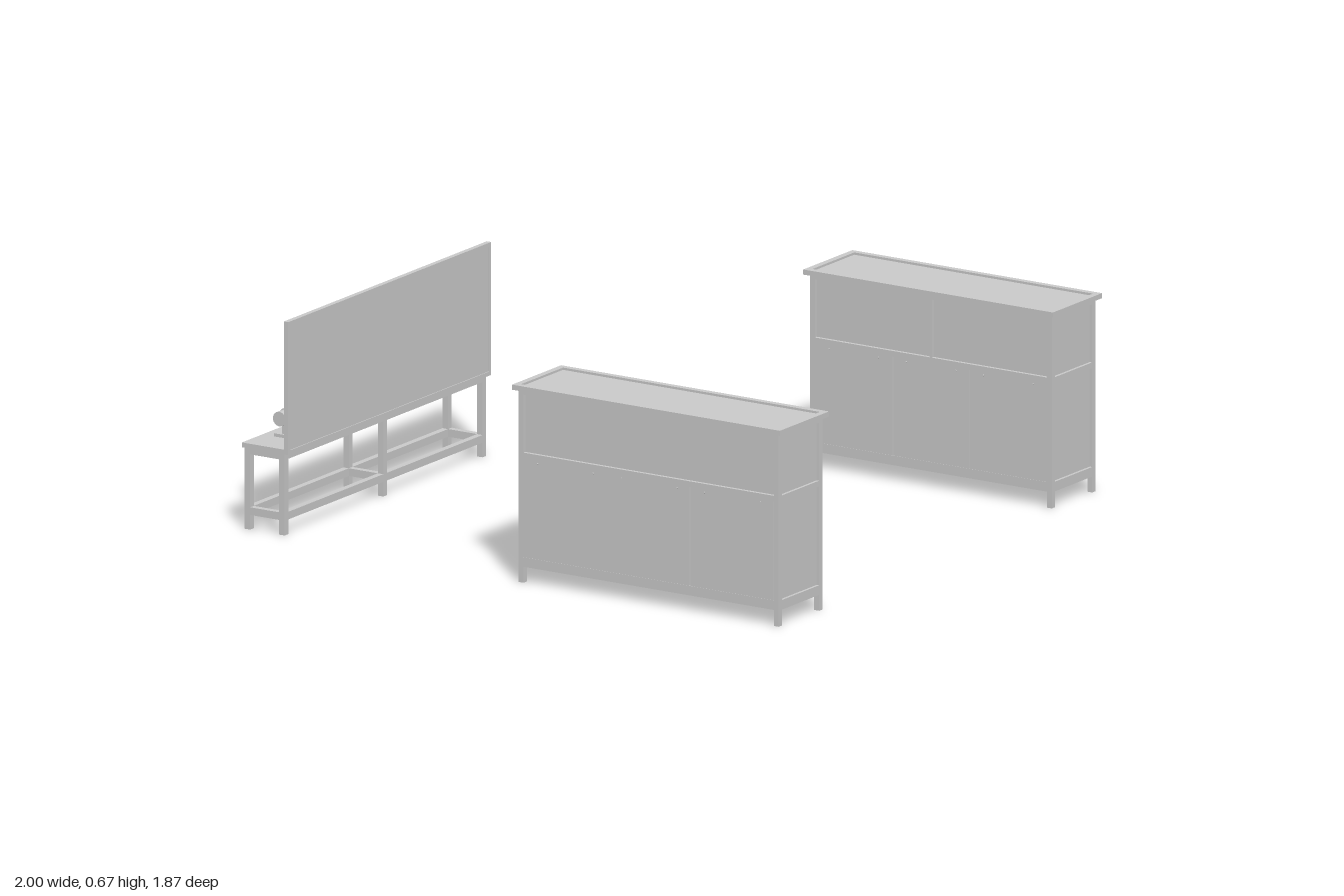
import * as THREE from 'three';

const mat = new THREE.MeshStandardMaterial({ color: 0xcccccc });

// Box given by its min and max corners
function box(parent, name, x0, x1, y0, y1, z0, z1) {
  const m = new THREE.Mesh(new THREE.BoxGeometry(x1 - x0, y1 - y0, z1 - z0), mat);
  m.position.set((x0 + x1) / 2, (y0 + y1) / 2, (z0 + z1) / 2);
  m.name = name;
  parent.add(m);
  return m;
}

// Cylinder lying along the x or z axis; r1 is the radius at the positive end
function tube(parent, name, axis, r1, r0, length, x, y, z) {
  const g = new THREE.CylinderGeometry(r1, r0, length, 24);
  if (axis === 'x') g.rotateZ(-Math.PI / 2);
  else g.rotateX(Math.PI / 2);
  const m = new THREE.Mesh(g, mat);
  m.position.set(x, y, z);
  m.name = name;
  parent.add(m);
  return m;
}

// Framed cabinet, open underneath; its outer face is local +z
function cabinet(name, length) {
  const g = new THREE.Group();
  g.name = name;
  const a = length / 2, d = 0.135;
  const X = a - 0.014, Z = 0.12, p = 0.018;

  // Tray-like top: rim around a slightly sunken panel
  const rim = 0.02;
  box(g, 'topPanel', -a + rim, a - rim, 0.604, 0.613, -d + rim, d - rim);
  for (const s of [-1, 1]) {
    const zc = s * (d - rim / 2), xc = s * (a - rim / 2);
    box(g, 'topRimLong', -a, a, 0.604, 0.62, zc - rim / 2, zc + rim / 2);
    box(g, 'topRimShort', xc - rim / 2, xc + rim / 2, 0.604, 0.62, -d + rim, d - rim);
  }

  // Corner posts that run down into the legs
  for (const sx of [-1, 1]) for (const sz of [-1, 1]) {
    const x = sx * (X - p / 2), z = sz * (Z - p / 2);
    box(g, 'cornerPost', x - p / 2, x + p / 2, 0, 0.605, z - p / 2, z + p / 2);
  }

  // Bottom, middle and top rails
  const rails = [[0.05, 0.08], [0.39, 0.408], [0.59, 0.605]];
  for (const [y0, y1] of rails) for (const s of [-1, 1]) {
    const z = s * (Z - p / 2), x = s * (X - p / 2);
    box(g, 'longRail', -X + p, X - p, y0, y1, z - p / 2, z + p / 2);
    box(g, 'endRail', x - p / 2, x + p / 2, y0, y1, -Z + p, Z - p);
  }

  const inner = X - p;
  for (const s of [-1, 1]) {
    // Sunken upper panels and nearly flush lower ones
    const zu = s * (Z - 0.013), zl = s * (Z - 0.004);
    box(g, 'upperPanel', -inner, inner, 0.408, 0.59, zu - 0.002, zu + 0.002);
    const third = 2 * inner / 3;
    for (let i = 0; i < 3; i++) {
      const x0 = -inner + i * third, x1 = x0 + third;
      box(g, 'lowerPanel', x0, x1 - (i === 1 ? 0.004 : 0.0008), 0.08, 0.39, zl - 0.003, zl + 0.003);
      // Small fasteners at the head of each lower panel
      for (const x of [x0 + 0.05, x1 - 0.05])
        tube(g, 'fastener', 'z', 0.003, 0.003, 0.004, x, 0.38, s * Z);
    }
    // End panels
    const xe = s * (X - 0.011);
    box(g, 'endUpperPanel', xe - 0.002, xe + 0.002, 0.408, 0.59, -Z + p, Z - p);
    box(g, 'endLowerPanel', xe - 0.002, xe + 0.002, 0.08, 0.39, -Z + p, Z - p);
  }
  // Divider of the upper panel on the inner side
  box(g, 'upperDivider', -0.004, 0.004, 0.408, 0.59, -Z, -Z + p);
  return g;
}

function bench() {
  const g = new THREE.Group();
  g.name = 'displayBench';
  const x0 = -1, x1 = -0.847, z0 = -0.25, z1 = 0.865, w = 0.02;
  const legX = [-0.982, -0.857], legZ = [0.852, 0.31, -0.235];

  // Table top with an apron frame below it
  box(g, 'tableTop', x0, x1, 0.255, 0.27, z0, z1);
  for (const x of legX) {
    box(g, 'apron', x - w / 2, x + w / 2, 0.236, 0.255, z0 + 0.005, z1 - 0.003);
    box(g, 'stretcher', x - w / 2, x + w / 2, 0.046, 0.07, legZ[2], legZ[0]);
    for (const z of legZ) box(g, 'leg', x - w / 2, x + w / 2, 0, 0.255, z - w / 2, z + w / 2);
  }
  for (const z of legZ) {
    box(g, 'crossRail', legX[0], legX[1], 0.236, 0.255, z - w / 2, z + w / 2);
    box(g, 'crossStretcher', legX[0], legX[1], 0.046, 0.07, z - w / 2, z + w / 2);
  }

  // Framed back board
  const b0 = -0.848, b1 = -0.832, f = 0.013;
  box(g, 'backBoard', b0 + 0.004, b1 - 0.003, 0.255 + f, 0.672 - f, z0 + f, z1 - f);
  box(g, 'boardTopRail', b0, b1, 0.672 - f, 0.672, z0, z1);
  box(g, 'boardBottomRail', b0, b1, 0.255, 0.255 + f, z0, z1);
  box(g, 'boardEndRail', b0, b1, 0.255 + f, 0.672 - f, z0, z0 + f);
  box(g, 'boardEndRail', b0, b1, 0.255 + f, 0.672 - f, z1 - f, z1);
  return g;
}

function exhibits() {
  const g = new THREE.Group();
  g.name = 'exhibits';
  const top = 0.27;

  // Twin tapered barrels on a base plate
  box(g, 'twinBase', -0.988, -0.858, top, 0.281, -0.125, -0.01);
  for (const z of [-0.092, -0.042]) {
    tube(g, 'frontBarrel', 'x', 0.013, 0.02, 0.045, -0.948, 0.322, z);
    tube(g, 'rearBarrel', 'x', 0.015, 0.013, 0.035, -0.908, 0.322, z);
    box(g, 'barrelSupport', -0.94, -0.905, 0.281, 0.315, z - 0.009, z + 0.009);
  }
  box(g, 'barrelBridge', -0.93, -0.912, 0.315, 0.328, -0.092, -0.042);

  // Small block with a lever on a wide plate
  box(g, 'blockBase', -0.99, -0.858, top, 0.278, 0.18, 0.435);
  box(g, 'block', -0.932, -0.896, 0.278, 0.33, 0.272, 0.338);
  box(g, 'blockFace', -0.937, -0.932, 0.285, 0.322, 0.28, 0.33);
  const lever = box(g, 'lever', -0.947, -0.942, 0.292, 0.297, 0.225, 0.295);
  lever.rotation.y = 0.45;
  tube(g, 'peg', 'x', 0.003, 0.003, 0.012, -0.925, 0.273, 0.105);

  // Long tube resting on two collared stands
  tube(g, 'longTube', 'z', 0.023, 0.023, 0.22, -0.922, 0.335, 0.668);
  for (const z of [0.572, 0.734]) {
    box(g, 'standFoot', -0.957, -0.888, top, 0.28, z - 0.019, z + 0.019);
    box(g, 'standPost', -0.934, -0.91, 0.28, 0.32, z - 0.01, z + 0.01);
    tube(g, 'collar', 'z', 0.026, 0.026, 0.018, -0.922, 0.335, z);
  }
  box(g, 'sight', -0.925, -0.919, 0.355, 0.367, 0.728, 0.74);
  return g;
}

export function createModel() {
  const model = new THREE.Group();
  model.name = 'displayFurniture';

  const front = cabinet('frontCabinet', 0.972);
  front.position.set(0.512, 0, 0.8);
  const back = cabinet('backCabinet', 0.906);
  back.rotation.y = Math.PI;
  back.position.set(0.479, 0, -0.8);

  model.add(front, back, bench(), exhibits());
  return model;
}
